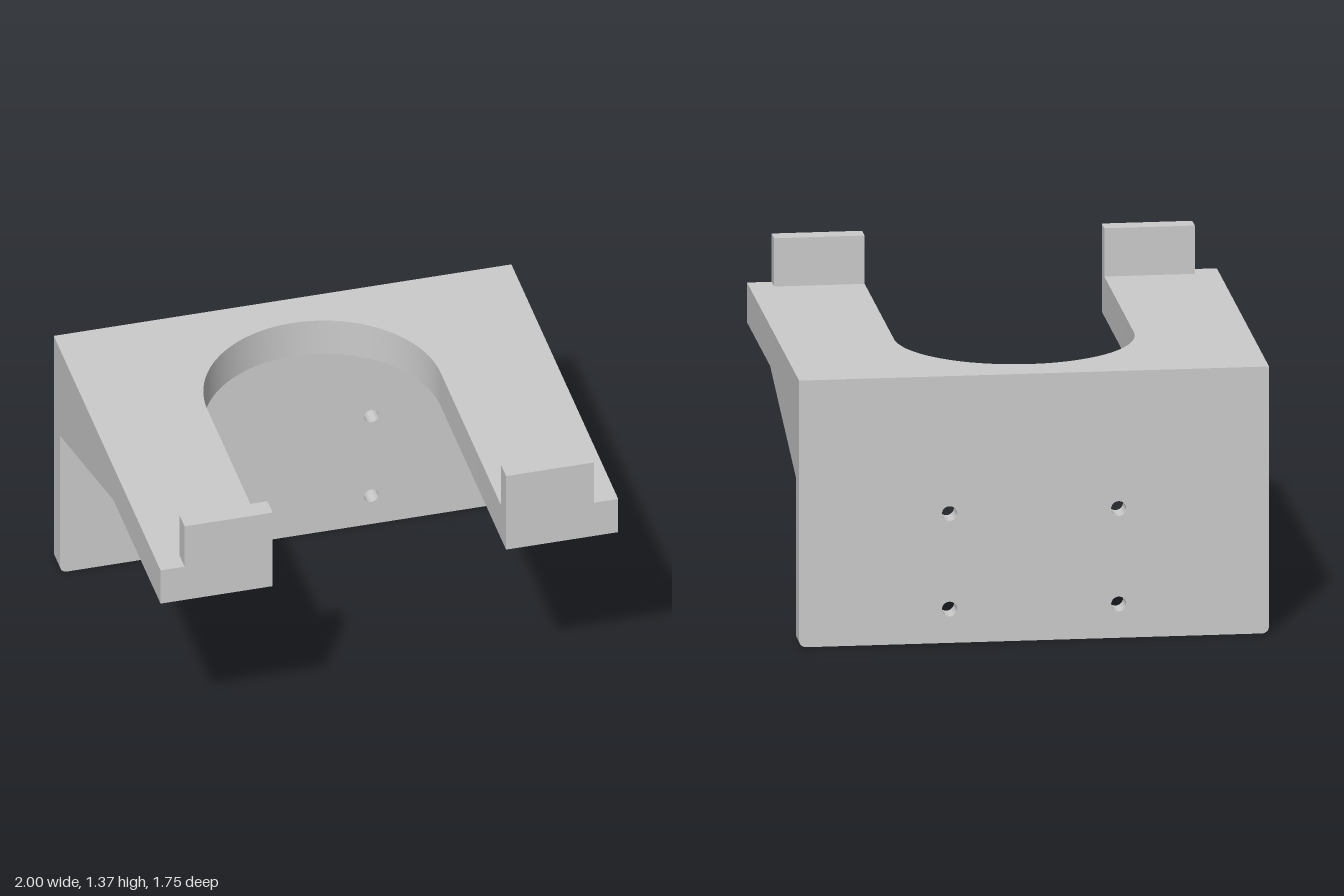
import * as THREE from 'three';
import { toCreasedNormals } from 'three/addons/utils/BufferGeometryUtils.js';

const W = 1, BACK = -0.875, FRONT = 0.875;
const TOP = 1.16, UNDER = 0.987, PLATE_FRONT = -0.77;
const SLOT_R = 0.51, SLOT_Z = -0.195;

export function createModel() {
  const model = new THREE.Group();
  const material = new THREE.MeshStandardMaterial({ color: 0xcccccc });

  const add = (name, geometry, x = 0, y = 0, z = 0) => {
    const mesh = new THREE.Mesh(geometry, material);
    mesh.name = name;
    mesh.position.set(x, y, z);
    model.add(mesh);
  };
  const extrude = (shape, depth) => toCreasedNormals(
    new THREE.ExtrudeGeometry(shape, { depth, bevelEnabled: false, curveSegments: 32 }), 0.5);

  // Shelf with a round-ended slot open to the front (drawn with y = -z)
  const shelf = new THREE.Shape();
  shelf.moveTo(-W, -FRONT);
  shelf.lineTo(-SLOT_R, -FRONT);
  shelf.lineTo(-SLOT_R, -SLOT_Z);
  shelf.absarc(0, -SLOT_Z, SLOT_R, Math.PI, 0, true);
  shelf.lineTo(SLOT_R, -FRONT);
  shelf.lineTo(W, -FRONT);
  shelf.lineTo(W, -BACK);
  shelf.lineTo(-W, -BACK);
  shelf.closePath();
  add('shelf', extrude(shelf, TOP - UNDER).rotateX(-Math.PI / 2), 0, UNDER, 0);

  // Back plate with rounded lower corners and four screw holes
  const r = 0.03;
  const plate = new THREE.Shape();
  plate.moveTo(-W, UNDER);
  plate.lineTo(-W, r);
  plate.absarc(-W + r, r, r, Math.PI, Math.PI * 1.5, false);
  plate.lineTo(W - r, 0);
  plate.absarc(W - r, r, r, -Math.PI / 2, 0, false);
  plate.lineTo(W, UNDER);
  plate.closePath();
  for (const x of [-0.36, 0.36]) {
    for (const y of [0.147, 0.562]) {
      plate.holes.push(new THREE.Path().absarc(x, y, 0.032, 0, Math.PI * 2, true));
    }
  }
  add('backPlate', extrude(plate, PLATE_FRONT - BACK), 0, 0, BACK);

  // Triangular ribs, drawn as (z, y) and turned to run along x
  const rib = new THREE.Shape([
    new THREE.Vector2(PLATE_FRONT, 0.712),
    new THREE.Vector2(0.1, UNDER),
    new THREE.Vector2(PLATE_FRONT, UNDER),
  ]);
  const ribWidth = 0.07;
  const ribGeometry = extrude(rib, ribWidth).rotateY(-Math.PI / 2).translate(ribWidth / 2, 0, 0);

  // Front stop tabs
  const tabGeometry = new THREE.BoxGeometry(0.385, 0.21, 0.085);

  for (const [side, s] of [['left', 1], ['right', -1]]) {
    add(side + 'OuterRib', ribGeometry, s * (W - ribWidth / 2));
    add(side + 'InnerRib', ribGeometry, s * 0.7);
    add(side + 'FrontTab', tabGeometry, s * (SLOT_R + 0.1925), TOP + 0.105, FRONT - 0.0425);
  }
  return model;
}
